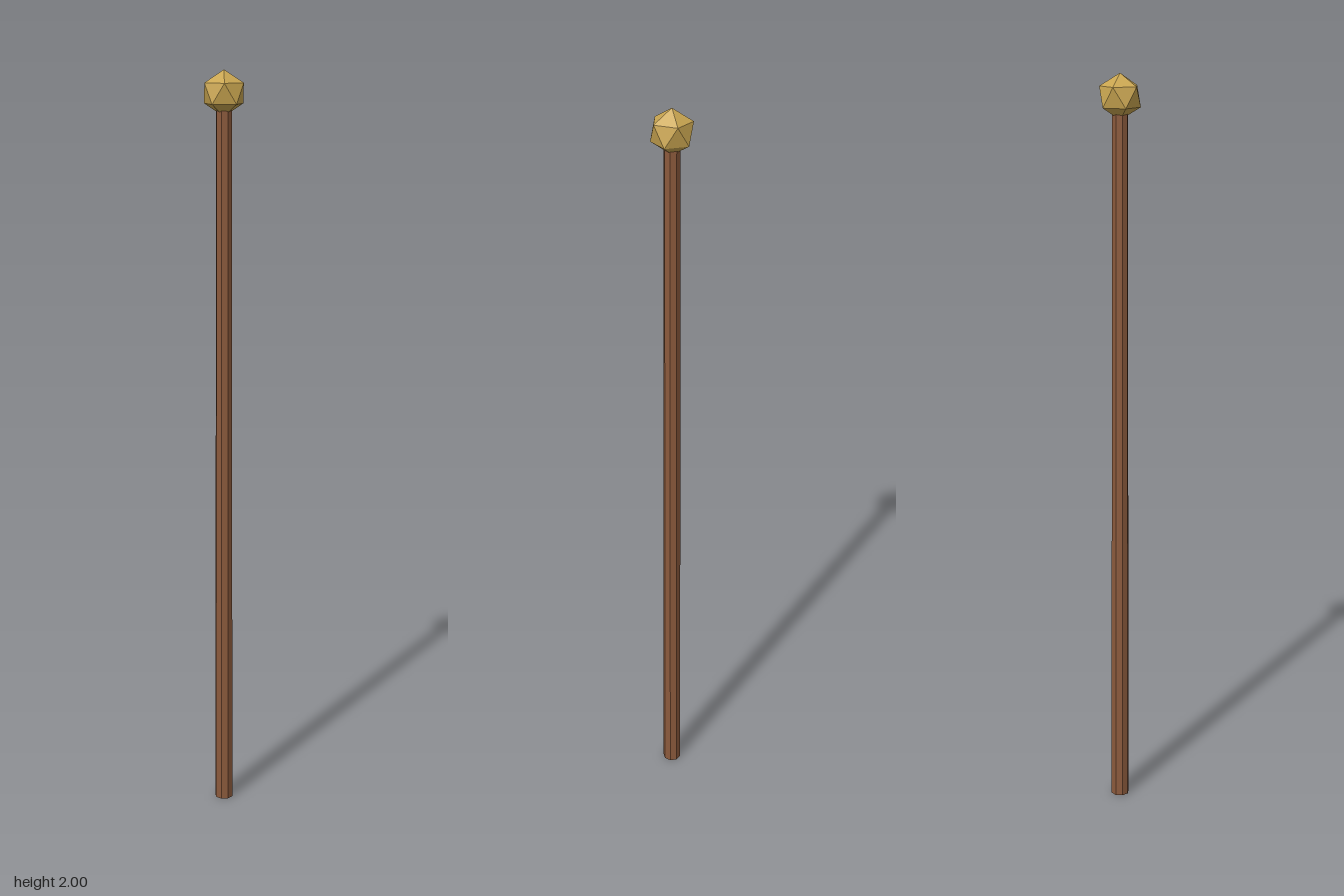
import * as THREE from 'three';
import { ConvexGeometry } from 'three/addons/geometries/ConvexGeometry.js';

const material = (color) => new THREE.MeshStandardMaterial({ color, flatShading: true });

// Icosahedron standing on a corner: two poles and two staggered rings of five
function icosahedron(radius) {
  const points = [new THREE.Vector3(0, radius, 0), new THREE.Vector3(0, -radius, 0)];
  const ring = radius * 2 / Math.sqrt(5);
  const height = radius / Math.sqrt(5);
  for (let i = 0; i < 10; i++) {
    const a = i * Math.PI / 5;
    points.push(new THREE.Vector3(ring * Math.cos(a), i % 2 ? -height : height, ring * Math.sin(a)));
  }
  return new ConvexGeometry(points);
}

export function createModel() {
  const model = new THREE.Group();
  model.name = 'staff';

  // Slightly tapered wooden shaft, its top sunk into the knob
  const shaftHeight = 1.9;
  const shaft = new THREE.Mesh(
    new THREE.CylinderGeometry(0.021, 0.025, shaftHeight, 8),
    material(0x8b5a3c)
  );
  shaft.name = 'shaft';
  shaft.position.y = shaftHeight / 2;
  model.add(shaft);

  // Faceted brass knob
  const knobRadius = 0.059;
  const knob = new THREE.Mesh(icosahedron(knobRadius), material(0xc9a550));
  knob.name = 'knob';
  knob.position.y = 2 - knobRadius;
  model.add(knob);

  return model;
}
